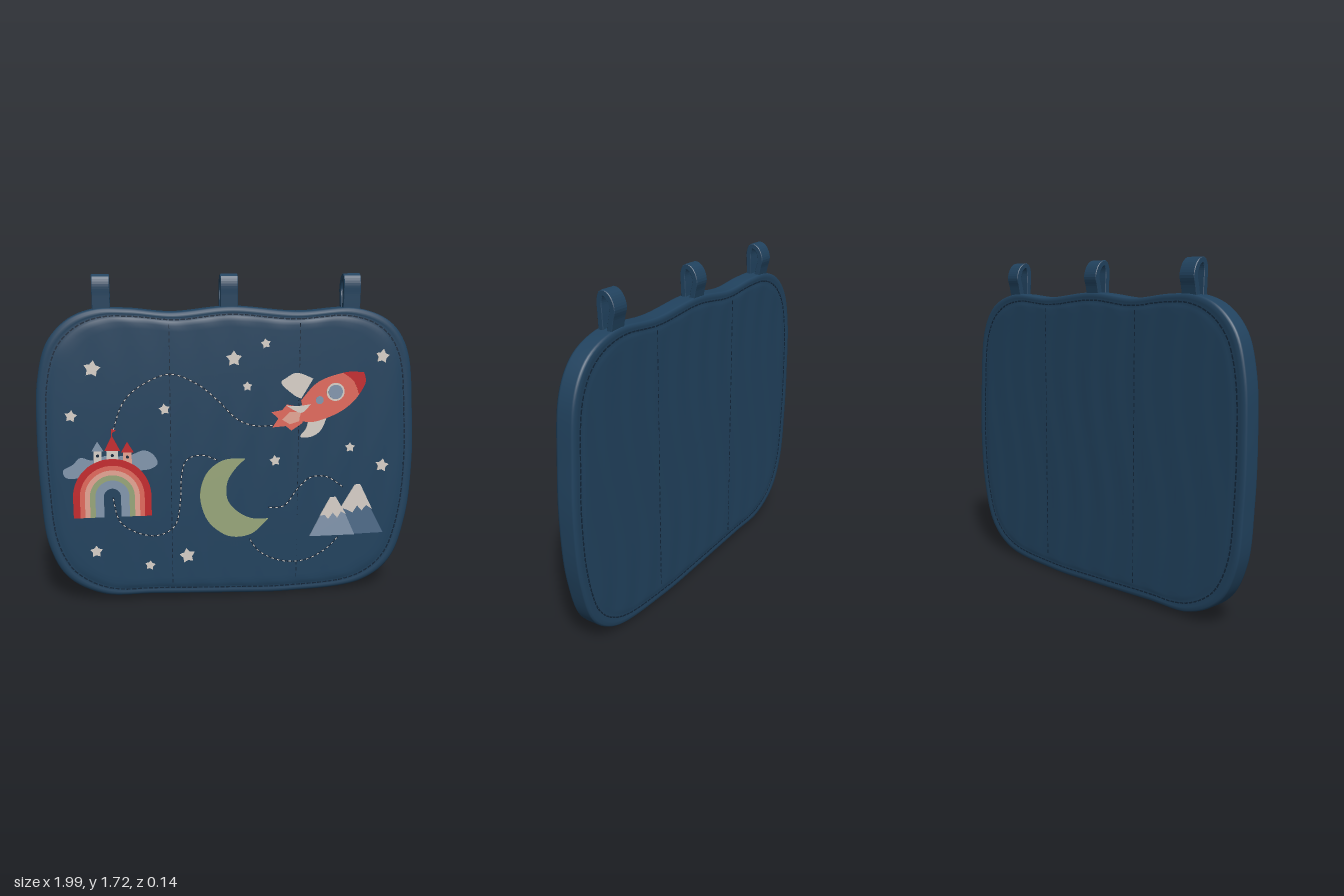
import * as THREE from 'three';
import { mergeGeometries } from 'three/addons/utils/BufferGeometryUtils.js';

const mat = (name, color) => new THREE.MeshStandardMaterial({ name, color });

export function createModel() {
  const navy = mat('navy fabric', 0x21425e), thread = mat('dark thread', 0x12263a);
  const cream = mat('cream felt', 0xd8d0c8), coral = mat('coral felt', 0xe2695c);
  const red = mat('red felt', 0xc4282c), pink = mat('pink felt', 0xe6a594);
  const sage = mat('sage felt', 0x98a67a), mist = mat('grey blue felt', 0x8296ad);
  const slate = mat('slate felt', 0x4f6c8a);

  const model = new THREE.Group();
  model.name = 'quiltedPanel';
  const group = (name) => {
    const g = new THREE.Group();
    g.name = name;
    model.add(g);
    return g;
  };
  const add = (parent, name, geometry, material) => {
    const m = new THREE.Mesh(geometry, material);
    m.name = name;
    parent.add(m);
    return m;
  };

  // Shape helpers: straight polygons, and outlines made of spline segments
  const vec = (pts) => pts.map(([x, y]) => new THREE.Vector2(x, y));
  const poly = (pts) => new THREE.Shape(vec(pts));
  const curved = (...segments) => new THREE.Shape(
    segments.flatMap((s) => new THREE.SplineCurve(vec(s)).getPoints(s.length * 6).slice(0, -1)));
  const disc = (x, y, r) => new THREE.Shape().absarc(x, y, r, 0, Math.PI * 2);
  const patch = (parent, name, shape, material, layer = 0) => {
    const g = new THREE.ExtrudeGeometry(shape, { depth: 0.008, bevelEnabled: false, curveSegments: 24 });
    g.translate(0, 0, 0.053 + layer * 0.0025);
    return add(parent, name, g, material);
  };

  // Panel body: rings of the outline from the front centre round to the back centre
  const edge = new THREE.CatmullRomCurve3([
    [0.995, 0.73], [0.984, 1.0], [0.95, 1.31], [0.89, 1.435], [0.81, 1.505], [0.65, 1.555],
    [0.35, 1.54], [0.0, 1.568], [-0.3, 1.542], [-0.52, 1.562], [-0.685, 1.56], [-0.82, 1.51],
    [-0.925, 1.4], [-0.98, 1.21], [-0.996, 0.917], [-0.99, 0.62], [-0.96, 0.33], [-0.87, 0.15],
    [-0.685, 0.045], [-0.42, 0.032], [0, 0.015], [0.33, 0.008], [0.73, 0.05], [0.89, 0.17], [0.97, 0.41],
  ].map(([x, y]) => new THREE.Vector3(x, y, 0)), true);
  const N = 240, midY = 0.79;
  const rim = edge.getSpacedPoints(N).slice(0, N);
  const rings = [];
  for (let i = 0; i <= 24; i++) rings.push([0.001 + i * 0.0378, 0.055]);
  rings.push([0.935, 0.051], [0.95, 0.045], [0.965, 0.049], [0.98, 0.048], [0.992, 0.043], [0.999, 0.034],
    [1, 0.026], [1, -0.044], [0.998, -0.052], [0.99, -0.058], [0.97, -0.06], [0.95, -0.055], [0.93, -0.059]);
  for (let i = 24; i >= 0; i--) rings.push([0.001 + i * 0.0378, -0.06]);
  const pos = [], index = [];
  rings.forEach(([s, z], i) => {
    for (let j = 0; j < N; j++) {
      const x = rim[j].x * s, y = midY + (rim[j].y - midY) * s;
      const wrinkle = s < 0.92 ? 0.0012 * Math.sin(x * 34 + 2 * Math.sin(y * 4)) : 0;
      pos.push(x, y, z + wrinkle);
      if (i === rings.length - 1) continue;
      const k = (j + 1) % N, a = i * N + j, b = i * N + k;
      index.push(a, a + N, b + N, a, b + N, b);
    }
  });
  const body = new THREE.BufferGeometry();
  body.setAttribute('position', new THREE.Float32BufferAttribute(pos, 3));
  body.setIndex(index);
  body.computeVertexNormals();
  add(model, 'panel', body, navy);

  // Rows of stitches along a path
  const stitches = (parent, name, curve, material, z, gap, length, width = 0.006) => {
    const count = Math.round(curve.getLength() / gap), parts = [];
    for (let i = 0; i < count; i++) {
      const u = (i + 0.5) / count, p = curve.getPointAt(u), t = curve.getTangentAt(u);
      const g = new THREE.BoxGeometry(length, width, 0.005);
      g.rotateZ(Math.atan2(t.y, t.x));
      g.translate(p.x, p.y, z);
      parts.push(g);
    }
    add(parent, name, mergeGeometries(parts), material);
  };
  const seams = group('seams');
  const inset = new THREE.CatmullRomCurve3(rim.filter((_, i) => i % 4 === 0)
    .map((p) => new THREE.Vector3(p.x * 0.95, midY + (p.y - midY) * 0.95, 0)), true);
  for (const [side, z] of [['front', 0.0455], ['back', -0.0555]]) {
    stitches(seams, side + 'RimStitch', inset, thread, z, 0.03, 0.022, 0.007);
    for (const x of [-0.315, 0.36]) {
      const line = new THREE.LineCurve(new THREE.Vector2(x, 0.09), new THREE.Vector2(x, 1.49));
      stitches(seams, side + 'QuiltSeam', line, thread, z > 0 ? 0.0535 : -0.0595, 0.035, 0.02, 0.004);
    }
  }

  // Dashed trails joining the pictures
  const trails = group('trails');
  [
    [[-0.61, 0.94], [-0.56, 1.08], [-0.47, 1.17], [-0.32, 1.23], [-0.18, 1.18], [-0.07, 1.09], [0.03, 0.99], [0.13, 0.95], [0.23, 0.95]],
    [[-0.62, 0.59], [-0.59, 0.46], [-0.5, 0.39], [-0.39, 0.37], [-0.3, 0.42], [-0.27, 0.54], [-0.26, 0.7], [-0.23, 0.78], [-0.15, 0.8], [-0.07, 0.77]],
    [[0.2, 0.5], [0.29, 0.51], [0.36, 0.6], [0.43, 0.66], [0.52, 0.66], [0.61, 0.6]],
    [[0.1, 0.33], [0.16, 0.25], [0.28, 0.195], [0.41, 0.195], [0.52, 0.25], [0.59, 0.32]],
  ].forEach((pts) => {
    const curve = new THREE.SplineCurve(vec(pts));
    stitches(trails, 'trailGroove', curve, thread, 0.0545, 0.032, 0.028, 0.008);
    stitches(trails, 'trailStitch', curve, cream, 0.0555, 0.032, 0.013, 0.005);
  });

  // Hanging loops: a folded strap seen from the side, extruded across its width
  const fold = new THREE.SplineCurve(vec([[0.01, 1.52], [0.014, 1.62], [0.016, 1.68], [0, 1.715],
    [-0.035, 1.7], [-0.056, 1.65], [-0.045, 1.6], [-0.03, 1.52]]));
  const offset = (d) => Array.from({ length: 41 }, (_, i) => {
    const p = fold.getPointAt(i / 40), t = fold.getTangentAt(i / 40);
    return new THREE.Vector2(p.x - t.y * d, p.y + t.x * d);
  });
  const strap = new THREE.Shape([...offset(0.011), ...offset(-0.011).reverse()]);
  for (const x of [-0.65, -0.005, 0.635]) {
    const g = new THREE.ExtrudeGeometry(strap, { depth: 0.084, bevelSize: 0.003, bevelThickness: 0.003, bevelSegments: 1 });
    g.rotateY(-Math.PI / 2);
    add(model, 'hangingLoop', g, navy).position.x = x + 0.042;
  }

  // Stars
  const stars = group('stars');
  [[-0.705, 1.265, 0.044], [0.015, 1.305, 0.042], [0.18, 1.38, 0.027], [0.8, 1.305, 0.038], [0.085, 1.16, 0.026],
    [-0.345, 1.05, 0.03], [-0.82, 1.025, 0.032], [0.64, 0.82, 0.027], [0.235, 0.76, 0.03], [0.82, 0.715, 0.037],
    [-0.715, 0.295, 0.033], [-0.235, 0.25, 0.042], [-0.435, 0.205, 0.027]].forEach(([x, y, r], n) => {
    const pts = Array.from({ length: 10 }, (_, i) => {
      const a = Math.PI / 2 + i * Math.PI / 5 + (n % 3 - 1) * 0.15, q = i % 2 ? r * 0.58 : r;
      return [x + q * Math.cos(a), y + q * Math.sin(a)];
    });
    patch(stars, 'star', poly(pts), cream, 1);
  });

  // Moon
  patch(model, 'moon', curved(
    [[0.075, 0.775], [-0.04, 0.77], [-0.13, 0.7], [-0.165, 0.58], [-0.13, 0.45], [-0.05, 0.37], [0.03, 0.345], [0.12, 0.365], [0.2, 0.44]],
    [[0.2, 0.44], [0.11, 0.445], [0.03, 0.49], [-0.02, 0.56], [-0.02, 0.65], [0.02, 0.72], [0.075, 0.775]]), sage, 1);

  // Rocket
  const rocket = group('rocket');
  patch(rocket, 'upperFin', curved([[0.37, 1.09], [0.33, 1.11], [0.265, 1.17], [0.29, 1.2], [0.35, 1.225], [0.44, 1.19]]), cream);
  patch(rocket, 'lowerFin', curved([[0.51, 0.99], [0.48, 0.92], [0.43, 0.885], [0.37, 0.885], [0.4, 0.93], [0.41, 0.98]]), cream);
  patch(rocket, 'flame', poly([[0.22, 0.94], [0.25, 0.985], [0.215, 1.02], [0.27, 1.03], [0.295, 1.06], [0.38, 1.04],
    [0.38, 0.96], [0.32, 0.92], [0.29, 0.945]]), coral);
  patch(rocket, 'flameCore', poly([[0.27, 0.98], [0.31, 1.02], [0.37, 1.02], [0.36, 0.97], [0.31, 0.955]]), pink, 1);
  patch(rocket, 'hull', curved(
    [[0.37, 1.08], [0.46, 1.175], [0.6, 1.222], [0.7, 1.22]], [[0.7, 1.22], [0.71, 1.17], [0.66, 1.08], [0.57, 1.01], [0.44, 0.965], [0.35, 0.975]],
    [[0.35, 0.975], [0.375, 1.03], [0.37, 1.08]]), coral, 1);
  patch(rocket, 'nose', curved([[0.59, 1.222], [0.64, 1.227], [0.703, 1.222]], [[0.703, 1.222], [0.712, 1.17], [0.68, 1.105]],
    [[0.68, 1.105], [0.65, 1.175], [0.59, 1.222]]), red, 2);
  patch(rocket, 'middleFin', curved([[0.29, 1.055], [0.35, 1.05], [0.42, 1.06]], [[0.42, 1.06], [0.37, 1.015], [0.29, 1.055]]), cream, 2);
  patch(rocket, 'windowRing', disc(0.552, 1.122, 0.048), cream, 2);
  patch(rocket, 'windowGlass', disc(0.552, 1.122, 0.038), mist, 3);
  patch(rocket, 'smallWindow', disc(0.468, 1.08, 0.021), mist, 2);

  // Clouds behind the rainbow
  const castle = group('rainbowCastle');
  patch(castle, 'leftCloud', curved([[-0.77, 0.7], [-0.85, 0.7], [-0.87, 0.74], [-0.82, 0.77], [-0.78, 0.805], [-0.72, 0.79],
    [-0.64, 0.81], [-0.62, 0.72], [-0.7, 0.7]]), mist);
  patch(castle, 'rightCloud', curved([[-0.6, 0.72], [-0.6, 0.8], [-0.53, 0.81], [-0.46, 0.835], [-0.41, 0.815], [-0.385, 0.765],
    [-0.43, 0.735], [-0.52, 0.73]]), mist);

  // Castle towers: [x, half width, wall top, roof top, wall, roof]
  [[-0.692, 0.02, 0.84, 0.89, cream, mist], [-0.54, 0.022, 0.83, 0.885, pink, red], [-0.617, 0.03, 0.84, 0.92, cream, red]]
    .forEach(([x, w, top, tip, wall, roof]) => {
      patch(castle, 'towerWall', poly([[x - w, 0.74], [x + w, 0.74], [x + w, top], [x - w, top]]), wall, 1);
      patch(castle, 'towerRoof', poly([[x - w - 0.01, top], [x + w + 0.01, top], [x, tip]]), roof, 2);
      patch(castle, 'towerWindow', disc(x, top - 0.025, 0.008), thread, 2);
    });
  patch(castle, 'flag', poly([[-0.62, 0.915], [-0.614, 0.915], [-0.614, 0.935], [-0.595, 0.945], [-0.62, 0.955]]), red, 1);

  // Rainbow arches
  const cx = -0.623, cy = 0.595, base = 0.485;
  const radii = [0.202, 0.167, 0.142, 0.116, 0.088, 0.044];
  [red, coral, pink, sage, mist].forEach((m, i) => {
    const R = radii[i], r = radii[i + 1], s = new THREE.Shape();
    s.moveTo(cx - R, base).lineTo(cx - R, cy).absarc(cx, cy, R, Math.PI, 0, true);
    s.lineTo(cx + R, base).lineTo(cx + r, base).lineTo(cx + r, cy).absarc(cx, cy, r, 0, Math.PI, false);
    s.lineTo(cx - r, base);
    patch(castle, 'rainbowBand', s, m, 3 - i * 0.2);
  });

  // Mountains with snow caps
  const peaks = group('mountains');
  patch(peaks, 'rightMountain', poly([[0.56, 0.33], [0.84, 0.335], [0.77, 0.47], [0.705, 0.61], [0.675, 0.61], [0.6, 0.48]]), slate);
  patch(peaks, 'rightSnow', poly([[0.6, 0.485], [0.675, 0.612], [0.705, 0.612], [0.775, 0.47], [0.74, 0.495], [0.715, 0.465],
    [0.69, 0.495], [0.665, 0.455], [0.64, 0.47]]), cream, 1);
  patch(peaks, 'leftMountain', poly([[0.43, 0.33], [0.68, 0.33], [0.63, 0.44], [0.57, 0.545], [0.54, 0.545], [0.48, 0.43]]), mist, 1);
  patch(peaks, 'leftSnow', poly([[0.485, 0.445], [0.54, 0.547], [0.57, 0.547], [0.628, 0.45], [0.6, 0.465], [0.58, 0.43],
    [0.555, 0.46], [0.53, 0.425], [0.51, 0.45]]), cream, 2);

  return model;
}
